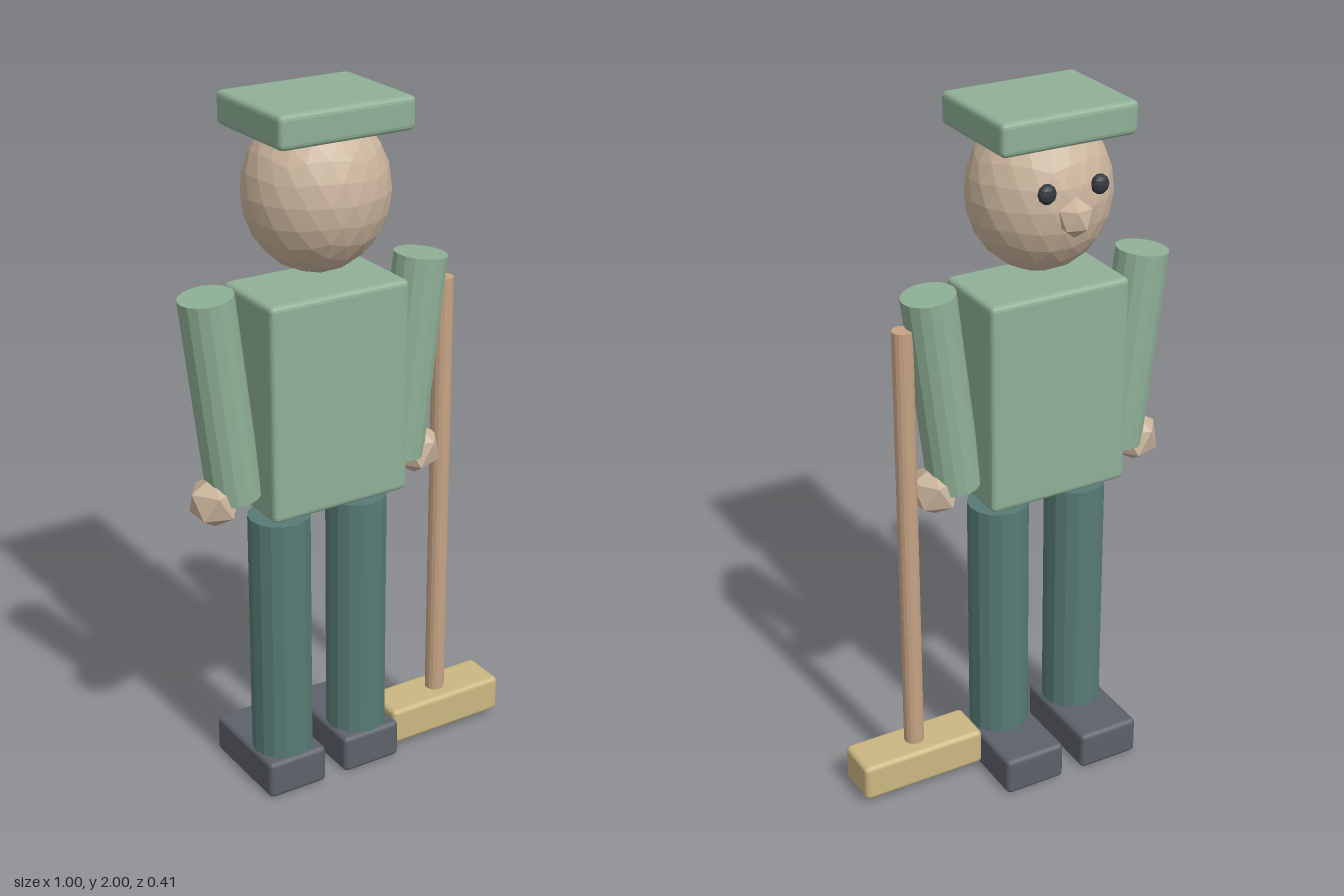
import * as THREE from 'three';
import { RoundedBoxGeometry } from 'three/addons/geometries/RoundedBoxGeometry.js';

const mat = (name, color, flatShading = false) => {
  const m = new THREE.MeshStandardMaterial({ color, flatShading });
  m.name = name;
  return m;
};

export function createModel() {
  const group = new THREE.Group();
  const green = mat('tunicGreen', 0x8fb096);
  const teal = mat('trouserTeal', 0x587b74);
  const skin = mat('skin', 0xcbb59d, true);
  const shoe = mat('shoeGrey', 0x5d616a);
  const dark = mat('eyeDark', 0x343840, true);
  const wood = mat('handleWood', 0xc6a384);
  const straw = mat('broomStraw', 0xcab781);
  for (const m of [green, teal, wood]) m.flatShading = true;

  const CX = -0.097; // middle of the figure; the broom stands beside it
  const CZ = 0.017;

  const add = (name, geometry, material, x, y, z) => {
    const mesh = new THREE.Mesh(geometry, material);
    mesh.name = name;
    mesh.position.set(x, y, z);
    group.add(mesh);
    return mesh;
  };
  const box = (w, h, d) => new RoundedBoxGeometry(w, h, d, 2, 0.015);
  const rod = (r, h) => new THREE.CylinderGeometry(r, r, h, 16);
  // Faceted ball with a vertex at the top and bottom
  const ball = (rx, ry, rz, detail) => new THREE.IcosahedronGeometry(1, detail)
    .rotateZ(-Math.atan(2 / (1 + Math.sqrt(5))))
    .scale(rx, ry, rz);

  // Head, cap and torso; the face looks toward -z
  add('cap', box(0.4, 0.09, 0.327), green, CX, 1.955, CZ);
  add('head', ball(0.2, 0.22, 0.188, 3), skin, CX, 1.75, CZ);
  add('nose', ball(0.052, 0.056, 0.045, 0), skin, CX, 1.73, -0.165);
  add('torso', box(0.423, 0.61, 0.255), green, CX, 1.195, CZ);

  // Paired parts
  for (const s of [-1, 1]) {
    const side = s > 0 ? 'left' : 'right';
    add(side + 'Eye', ball(0.026, 0.028, 0.019, 1), dark, CX + s * 0.078, 1.803, -0.157);
    const arm = add(side + 'Arm', rod(0.075, 0.58), green, CX + s * 0.296, 1.23, CZ);
    arm.rotation.z = -s * 0.12;
    const hand = add(side + 'Hand', ball(0.076, 0.076, 0.076, 0), skin, CX + s * 0.322, 0.94, CZ);
    hand.rotation.y = s > 0 ? 0 : Math.PI;
    add(side + 'Leg', rod(0.0875, 0.75), teal, CX + s * 0.125, 0.475, CZ);
    add(side + 'Shoe', box(0.187, 0.115, 0.316), shoe, CX + s * 0.125, 0.0575, -0.048);
  }

  // Broom
  add('broomHandle', rod(0.029, 1.33), wood, 0.311, 0.77, CZ);
  add('broomHead', box(0.38, 0.112, 0.138), straw, 0.31, 0.075, CZ);

  return group;
}
